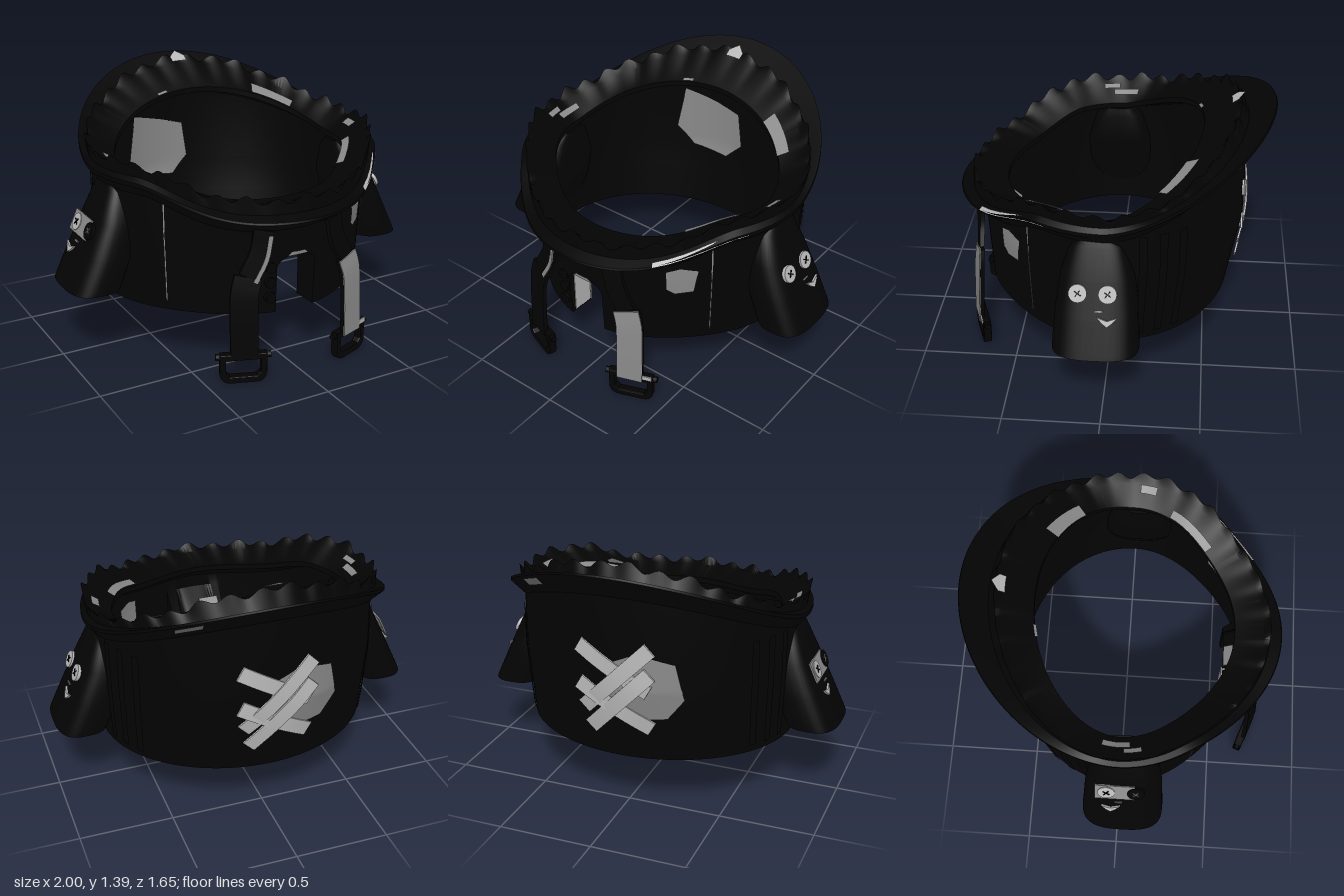
import * as THREE from 'three';
import { toCreasedNormals } from 'three/addons/utils/BufferGeometryUtils.js';

const material = (name, color, side = THREE.FrontSide) => {
  const m = new THREE.MeshStandardMaterial({ color, side });
  m.name = name;
  return m;
};
const V = (x, y, z) => new THREE.Vector3(x, y, z);
const { lerp, clamp, smoothstep } = THREE.MathUtils;

// Skin a list of closed cross-sections
function loft(rings, { closed = false, caps = false, crease = 0.7 } = {}) {
  const n = rings[0].length, index = [], pts = rings.flat();
  const last = closed ? rings.length : rings.length - 1;
  for (let i = 0; i < last; i++) for (let j = 0; j < n; j++) {
    const i2 = (i + 1) % rings.length, j2 = (j + 1) % n;
    const a = i * n + j, b = i2 * n + j, c = i2 * n + j2, d = i * n + j2;
    index.push(a, b, d, b, c, d);
  }
  if (caps) for (let j = 1; j < n - 1; j++) {
    const e = (rings.length - 1) * n;
    index.push(0, j, j + 1, e, e + j + 1, e + j);
  }
  const g = new THREE.BufferGeometry().setFromPoints(pts);
  g.setIndex(index);
  return toCreasedNormals(g, crease);
}

// Flat band following a path, facing n
function ribbon(points, n, width, thick, steps = 10) {
  const curve = new THREE.CatmullRomCurve3(points), rings = [];
  for (let i = 0; i <= steps; i++) {
    const p = curve.getPoint(i / steps);
    const s = n.clone().cross(curve.getTangent(i / steps)).normalize();
    rings.push([[1, -1], [1, 1], [-1, 1], [-1, -1]].map(([u, v]) =>
      p.clone().addScaledVector(n, u * thick / 2).addScaledVector(s, v * width / 2)));
  }
  return loft(rings, { caps: true });
}

// Oval with separate front and back depth, narrowed at the front corners; angle 0 is the front
const oval = (a, rx, zf, zb, y) => {
  const c = Math.cos(a), k = c > 0 ? 1 - 0.05 * Math.sin(2 * a) ** 2 : 1;
  return V(k * rx * Math.sin(a), y, k * (c > 0 ? zf : zb) * c);
};
// Height that changes from front to side to back
const rise = (a, f, s, b, p) => {
  const c = Math.cos(a);
  return c > 0 ? lerp(s, f, smoothstep(c, 0.4, 1)) : lerp(s, b, (-c) ** p);
};
const ramp = y => clamp((y - 0.32) / 0.4, 0, 1);
const outer = (a, y, o = 0) => {
  const k = ramp(y);
  return oval(a, 0.73 + 0.02 * k + o, 0.68 + 0.02 * k + o, 0.62 + 0.07 * k + o, y);
};
const inner = (a, y, o = 0) => outer(a, y, -0.03 - o);
const lip = a => oval(a, 0.64, 0.57, 0.465, rise(a, 0.89, 0.98, 1.21, 1.5));
const innerCrest = a => oval(a, 0.75, 0.72, 0.62, rise(a, 0.92, 1.05, 1.32, 2.3));
const wallTop = a => oval(a, 0.75, 0.71, 0.69, rise(a, 0.77, 0.92, 1.2, 1.5));
const brimTip = a => oval(a, 0.8, 0.825, 0.83, rise(a, 0.84, 0.98, 1.34, 1.5));
const collarInside = (a, t, o = 0) =>
  lip(a).lerp(innerCrest(a), t).add(V(-Math.sin(a) * o, o, -Math.cos(a) * o));
const brimUnder = (a, t, o = 0) => wallTop(a).lerp(brimTip(a), t).add(V(0, -o, 0));
const brimEdge = (a, t, o = 0) => brimTip(a).add(V(Math.sin(a) * (o - 0.03 * t), 0.035 * t, Math.cos(a) * (o - 0.03 * t)));

// Thin patch laid on a surface, from an outline in surface coordinates
function patch(surface, outline, off = 0.006) {
  const n = outline.length, S = 6, D = 5, rings = [];
  const cx = outline.reduce((t, p) => t + p[0], 0) / n, cy = outline.reduce((t, p) => t + p[1], 0) / n;
  for (let r = 0; r <= D; r++) {
    const ring = [];
    for (let i = 0; i < n; i++) for (let k = 0; k < S; k++) {
      const p = outline[i], q = outline[(i + 1) % n];
      ring.push(surface(lerp(cx, lerp(p[0], q[0], k / S), r / D), lerp(cy, lerp(p[1], q[1], k / S), r / D), off));
    }
    rings.push(ring);
  }
  return loft(rings);
}
const rect = (a0, a1, y0, y1) => [[a0, y0], [a1, y0], [a1, y1], [a0, y1]];

export function createModel() {
  const model = new THREE.Group();
  model.name = 'jacket';
  const black = material('black cloth', 0x030303);
  const blackSheet = material('black sheet', 0x030303, THREE.DoubleSide);
  const grey = material('grey patch', 0x8a8a8a, THREE.DoubleSide);
  const light = material('light grey', 0xb8b8b8, THREE.DoubleSide);
  const add = (name, geo, mat, parent = model) => {
    const m = new THREE.Mesh(geo, mat);
    m.name = name;
    parent.add(m);
    return m;
  };

  // Body wall, flared brim, ruffled collar, neck lip and lining in one skin, with a faced slot in the front hem
  const slot = 0.15, columns = [];
  for (let i = 0; i < 288; i++) {
    const a = -Math.PI + (i / 288) * 2 * Math.PI;
    columns.push([a, Math.abs(a) < slot ? 0.62 - 0.05 * (a / slot) ** 4 : 0.32]);
  }
  for (const s of [-1, 1]) columns.push([s * slot, 0.32], [s * (slot - 0.0005), 0.57]);
  columns.sort((p, q) => p[0] - q[0]);
  add('body', loft(columns.map(([a, bottom]) => {
    const wave = 0.018 * Math.sin(33 * a + Math.PI / 2) + 0.009 * Math.sin(14 * a + 1);
    const at = y => Math.max(y, bottom);
    const facing = p => (Math.abs(a) < 0.23 ? p.setZ(0.53) : p);
    return [
      outer(a, at(0.32)), outer(a, at(0.52)), outer(a, 0.72), wallTop(a), brimTip(a),
      oval(a, 0.8, 0.82, 0.825, rise(a, 0.85, 1.0, 1.35, 1.5)),
      oval(a, 0.775, 0.76, 0.69, rise(a, 0.87, 1.02, 1.26, 1.6)),
      oval(a, 0.785 + wave * 0.4, 0.755, 0.65, rise(a, 0.94, 1.085, 1.35, 2.3) + wave),
      innerCrest(a), lip(a), lip(a).add(V(0, -0.03, 0)),
      oval(a, 0.71, 0.67, 0.645, rise(a, 0.79, 0.92, 1.14, 1.5)),
      inner(a, 0.72), facing(inner(a, at(0.52))), facing(inner(a, at(0.32))),
    ];
  }), { closed: true }), black);

  // Short sleeves, hollow at the cuff
  const sleeveRows = [[0.95, 0.68, 0.06, 0.08], [0.9, 0.69, 0.08, 0.13], [0.75, 0.72, 0.118, 0.18],
    [0.58, 0.78, 0.137, 0.205], [0.42, 0.85, 0.141, 0.215], [0.4, 0.86, 0.14, 0.215],
    [0.4, 0.86, 0.122, 0.197], [0.6, 0.79, 0.1, 0.17]];
  const bend = v => Math.sign(v) * Math.abs(v) ** 0.7;
  for (const s of [-1, 1]) {
    add(s > 0 ? 'leftSleeve' : 'rightSleeve', loft(sleeveRows.map(([y, cx, rx, rz]) =>
      Array.from({ length: 40 }, (_, i) => {
        const t = (i / 40) * 2 * Math.PI;
        return V(s * (cx + rx * bend(Math.cos(t))), y, 0.03 - s * rz * bend(Math.sin(t)));
      })), { caps: true }), black);

    // Button face on the sleeve
    const face = new THREE.Group();
    face.name = s > 0 ? 'leftSleeveFace' : 'rightSleeveFace';
    face.position.set(s * 0.86, 0.7, 0.03);
    face.lookAt(s * 1.768, 1.119, 0.03);
    model.add(face);
    const button = (x, mat, crossMat) => {
      const disc = add('button', new THREE.CylinderGeometry(0.045, 0.045, 0.018, 24), mat, face);
      disc.rotation.x = Math.PI / 2;
      disc.position.set(x, 0, 0.002);
      for (const r of [-0.6, 0.9]) {
        const bar = add('buttonThread', new THREE.BoxGeometry(0.04, 0.005, 0.005), crossMat, face);
        bar.position.set(x, 0, 0.013);
        bar.rotation.z = r;
      }
    };
    if (s > 0) {
      button(-0.085, light, black);
      button(0.06, light, black);
    } else {
      add('sleevePatch', new THREE.BoxGeometry(0.21, 0.11, 0.009), grey, face).position.set(-0.04, 0, 0.002);
      button(-0.085, light, black);
      button(0.07, black, grey);
      const end = add('cuffPatch', new THREE.CircleGeometry(0.09, 20), grey);
      end.rotation.x = Math.PI / 2;
      end.position.set(-0.86, 0.415, 0.03);
    }
    const beak = new THREE.Shape([[-0.05, 0.018], [0, 0], [0.05, 0.018], [0.026, -0.01], [0, -0.03], [-0.026, -0.01]]
      .map(p => new THREE.Vector2(...p)));
    add('beak', new THREE.ExtrudeGeometry(beak, { depth: 0.012, bevelEnabled: false }), light, face)
      .position.set(s * 0.06, -0.13, 0);
    add('stitch', new THREE.BoxGeometry(0.04, 0.008, 0.008), grey, face).position.set(s * 0.02, -0.085, 0.003);

    // Hanging strap, turned with the curve of the body
    const turn = 0.35, n = V(s * Math.sin(turn), 0, Math.cos(turn));
    const path = list => list.map(([x, y, z]) => V(s * x, y, z));
    const strap = path([[0.2, 0.79, 0.7], [0.225, 0.67, 0.7], [0.285, 0.56, 0.697]]);
    const low = path([[0.285, 0.56, 0.697], [0.308, 0.48, 0.703], [0.315, 0.3, 0.713], [0.315, 0.13, 0.72]]);
    add('strapUpper', ribbon(strap, n, 0.1, 0.025), black);
    add('strapLower', ribbon(low, n, 0.14, 0.022), black);
    if (s > 0) add('strapFacing', ribbon(low.map(p => p.clone().addScaledVector(n, 0.013)), n, 0.138, 0.006), grey);
    else add('strapEdge', ribbon(strap.map(p => p.clone().addScaledVector(n, 0.014).add(V(0.033, -0.03, 0.012))), n, 0.022, 0.006), grey);

    // Buckle frame, bar and mark
    const buckle = new THREE.Group();
    buckle.name = s > 0 ? 'leftBuckle' : 'rightBuckle';
    buckle.position.set(s * 0.315, 0.005, 0.705);
    buckle.rotation.y = s * turn;
    model.add(buckle);
    const frame = new THREE.Shape().moveTo(-0.115, 0.15).lineTo(-0.115, 0.05).quadraticCurveTo(-0.11, 0, -0.06, 0)
      .lineTo(0.06, 0).quadraticCurveTo(0.11, 0, 0.115, 0.05).lineTo(0.115, 0.15);
    frame.holes.push(new THREE.Path([[-0.094, 0.125], [0.094, 0.125], [0.092, 0.05], [0.07, 0.027], [-0.07, 0.027], [-0.092, 0.05]]
      .map(p => new THREE.Vector2(...p))));
    add('buckleFrame', new THREE.ExtrudeGeometry(frame, { depth: 0.03, bevelSize: 0.005, bevelThickness: 0.007, bevelSegments: 2 }), black, buckle)
      .position.z = -0.015;
    const bar = add('buckleBar', new THREE.CylinderGeometry(0.017, 0.017, 0.28, 12), black, buckle);
    bar.rotation.z = Math.PI / 2;
    bar.position.y = 0.137;
    if (s > 0) add('buckleMark', new THREE.BoxGeometry(0.05, 0.025, 0.008), light, buckle).position.set(0.09, 0.155, 0.024);

    // Side seams and rear ribs
    add('seam', patch(outer, rect(s * 0.945, s * 0.955, 0.37, 0.89)), grey);
    for (const a of [1.85, 2.0, 2.15]) {
      add('rib', patch(outer, rect(s * a - 0.03, s * a + 0.03, 0.36, 0.95), 0.008), blackSheet);
    }
  }

  // Worn patches on the wall, lining, collar and brim
  const frontOutline = [[0.62, 0.66], [0.68, 0.63], [0.82, 0.64], [0.85, 0.77], [0.72, 0.79], [0.62, 0.77]];
  add('frontPatch', patch(outer, frontOutline), grey);
  add('frontLiningPatch', patch(inner, frontOutline, 0.01), grey);
  const backOutline = [[3.62, 0.68], [3.5, 0.57], [3.2, 0.55], [3.06, 0.68], [3.12, 0.86], [3.3, 0.92], [3.56, 0.87]];
  add('backPatch', patch(outer, backOutline), grey);
  add('liningPatch', patch(inner, [[3.65, 0.8], [3.5, 0.69], [3.2, 0.66], [3.06, 0.76], [3.1, 0.96], [3.3, 1.0], [3.58, 1.05]], 0.018), grey);
  add('flapPatch', new THREE.BoxGeometry(0.07, 0.25, 0.008), light).position.set(-0.135, 0.45, 0.527);
  add('slotPatch', new THREE.BoxGeometry(0.004, 0.24, 0.115), light).position.set(-0.104, 0.45, 0.592);
  const ledge = add('ledgePatch', new THREE.BoxGeometry(0.11, 0.008, 0.06), grey);
  ledge.position.set(-0.06, 0.66, 0.555);
  ledge.rotation.x = -0.7;
  add('slotTrim', patch(outer, [[-0.08, 0.622], [0.08, 0.622], [0.05, 0.642], [-0.05, 0.642]]), grey);
  for (const [a0, a1, t0, t1] of [[2.15, 2.55, 0, 0.5], [0.76, 1.22, 0.05, 0.4], [1.4, 1.53, 0.65, 1],
    [-1.72, -1.48, 0.4, 0.7], [-1.53, -1.4, 0.75, 1], [-2.9, -2.8, 0, 0.1]]) {
    add('collarPatch', patch(collarInside, rect(a0, a1, t0, t1), 0.008), grey);
  }
  add('crestPatch', patch(collarInside, [[3.08, 1.0], [3.2, 1.0], [3.2, 1.2], [3.14, 1.42], [3.08, 1.2]], 0.02), light);
  add('brimPatch', patch(brimUnder, rect(2.46, 2.64, 0.5, 0.9)), grey);
  add('brimPiping', patch(brimEdge, rect(0.58, 1.2, 0.2, 0.75), 0.007), light);

  // Crossed bandages on the back
  for (const [x0, y0, x1, y1, d] of [[0.19, 0.93, -0.18, 0.72, 0], [0.17, 0.59, -0.19, 0.95, 0.007],
    [0.19, 0.73, -0.19, 0.51, 0.004], [0.14, 0.48, -0.19, 0.82, 0.011]]) {
    const path = [0, 0.25, 0.5, 0.75, 1].map(t => {
      const x = lerp(x0, x1, t), p = outer(Math.PI - Math.asin(x / 0.75), lerp(y0, y1, t));
      return p.add(V(0, 0, -0.008 - d));
    });
    add('bandage', ribbon(path, V(0, 0, -1), 0.08, 0.01), light);
  }

  // Small dark buttons beside the slot
  for (const y of [0.41, 0.49, 0.57]) {
    const stud = add('stud', new THREE.CylinderGeometry(0.028, 0.028, 0.03, 16), black);
    stud.rotation.x = Math.PI / 2;
    stud.position.set(-0.145, y, 0.672);
  }
  return model;
}
